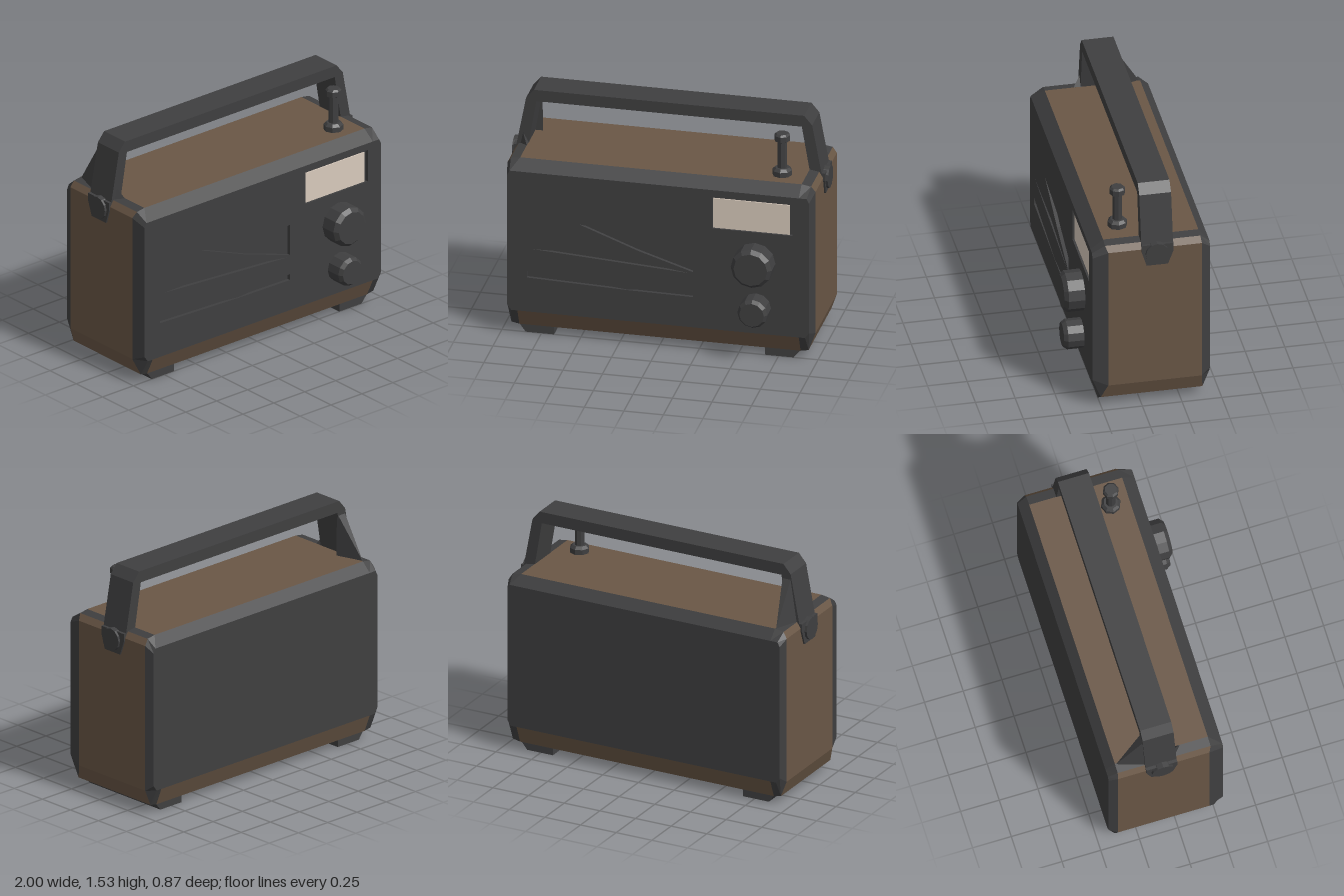
import * as THREE from 'three';
import { ConvexGeometry } from 'three/addons/geometries/ConvexGeometry.js';

const mat = (name, color) => new THREE.MeshStandardMaterial({ name, color, flatShading: true });

export function createModel() {
  const charcoal = mat('charcoal', 0x3f3f40);
  const brown = mat('brown', 0x6a5746);
  const cream = mat('cream', 0xd8cabc);
  const radio = new THREE.Group();
  radio.name = 'radio';

  const add = (name, geometry, material, x = 0, y = 0, z = 0) => {
    const mesh = new THREE.Mesh(geometry, material);
    mesh.name = name;
    mesh.position.set(x, y, z);
    radio.add(mesh);
    return mesh;
  };
  const shapeOf = (pts) => new THREE.Shape(pts.map(([x, y]) => new THREE.Vector2(x, y)));
  const extrude = (shape, depth) => new THREE.ExtrudeGeometry(shape, { depth, bevelEnabled: false });
  const lathe = (pts, sides) => new THREE.LatheGeometry(pts.map(([r, y]) => new THREE.Vector2(r, y)), sides);

  // Half outlines from bottom to top, mirrored to a full ring (counter-clockwise from the front)
  const ring = (half) => [
    [-half[0][0], half[0][1], half[0][2]],
    ...half,
    ...half.slice(1).reverse().map(([x, y, z]) => [-x, y, z]),
  ];
  const face = (z) => ring([[0.89, 0.165, z], [0.93, 0.165, z], [0.955, 0.2, z],
    [0.955, 1.08, z], [0.94, 1.11, z], [0.89, 1.11, z]]);
  const edge = (bottomZ, sideZ, topZ) => ring([[0.89, 0.05, bottomZ], [0.94, 0.06, bottomZ], [0.975, 0.16, sideZ],
    [0.975, 1.12, sideZ], [0.95, 1.16, topZ], [0.89, 1.17, topZ]]);
  const rings = [face(0.305), edge(0.25, 0.21, 0.225), edge(-0.39, -0.38, -0.375), face(-0.435)];

  // Case: brown wrap with dark bevels, split by colour
  const wrap = [], bevels = [];
  const n = rings[0].length;
  for (let r = 0; r < 3; r++) {
    for (let i = 0; i < n; i++) {
      const j = (i + 1) % n;
      const [f0, f1, b0, b1] = [rings[r][i], rings[r][j], rings[r + 1][i], rings[r + 1][j]];
      const darkStrip = [1, 5, 7, 11].includes(i);
      const isBrown = i === 0 || (r === 1 && !darkStrip);
      (isBrown ? wrap : bevels).push(...b0, ...b1, ...f1, ...b0, ...f1, ...f0);
    }
  }
  for (let i = 1; i < n - 1; i++) bevels.push(...rings[3][0], ...rings[3][i + 1], ...rings[3][i]);
  const fromTriangles = (list) => {
    const g = new THREE.BufferGeometry();
    g.setAttribute('position', new THREE.Float32BufferAttribute(list, 3));
    g.computeVertexNormals();
    return g;
  };
  add('caseWrap', fromTriangles(wrap), brown);
  add('caseBevelsAndBack', fromTriangles(bevels), charcoal);

  // Front panel with window and speaker slots cut through
  const panel = shapeOf(rings[0]);
  const cutouts = [
    [[0.345, 0.85], [0.85, 0.85], [0.85, 1.065], [0.345, 1.065]],
    [[-0.5, 0.79], [-0.13, 0.65], [0.22, 0.54], [0.22, 0.745], [0, 0.745]],
    [[-0.8, 0.592], [0.2, 0.53], [-0.3, 0.6]],
    [[-0.83, 0.395], [-0.2, 0.375], [0.22, 0.37], [0.22, 0.41], [-0.2, 0.38], [-0.83, 0.44]],
  ];
  for (const c of cutouts) panel.holes.push(new THREE.Path(c.map(([x, y]) => new THREE.Vector2(x, y))));
  add('frontPanel', extrude(panel, 0.025), charcoal, 0, 0, 0.28);
  add('panelBacking', new THREE.PlaneGeometry(1.8, 0.9), charcoal, 0, 0.64, 0.283);
  add('tuningWindow', new THREE.BoxGeometry(0.487, 0.2, 0.008), cream, 0.588, 0.95, 0.288);

  // Control knobs
  for (const [name, x, y, r, depth] of [['tuningKnob', 0.613, 0.65, 0.13, 0.13], ['volumeKnob', 0.62, 0.343, 0.095, 0.127]]) {
    const knob = lathe([[r, 0], [r, depth - 0.025], [r * 0.82, depth], [0, depth]], 12);
    add(name, knob.rotateX(Math.PI / 2), charcoal, x, y, 0.303);
  }

  // Folded aerial
  add('aerial', lathe([[0.062, 0], [0.062, 0.035], [0.045, 0.052], [0.031, 0.052], [0.031, 0.225],
    [0.05, 0.235], [0.05, 0.27], [0.038, 0.282], [0, 0.282]], 8), charcoal, 0.74, 1.168, 0.105);

  // Carrying handle
  const outer = [[0.975, 1.1], [0.905, 1.47], [0.855, 1.53]];
  const inner = [[0.84, 1.455], [0.9, 1.1]];
  const half = [...outer.map(([x, y]) => [x, y]), ...outer.slice().reverse().map(([x, y]) => [-x, y]),
    ...inner.slice().reverse().map(([x, y]) => [-x, y]), ...inner];
  add('handle', extrude(shapeOf(half), 0.2), charcoal, 0, 0, -0.2);

  for (const side of [1, -1]) {
    // Tapered handle ends lying on the case sides, with round pivots
    const lug = shapeOf([[0, 1.15], [0, 1.1], [0.03, 1.005], [0.165, 1.005], [0.2, 1.1], [0.2, 1.15]]);
    const lugMesh = add('handleLug', extrude(lug, 0.05).rotateY(Math.PI / 2), charcoal, side * 0.96 - 0.025, 0, 0);
    lugMesh.name = side > 0 ? 'leftHandleLug' : 'rightHandleLug';
    const pivot = new THREE.CylinderGeometry(0.073, 0.073, 0.04, 12).rotateZ(Math.PI / 2);
    add('handlePivot', pivot, charcoal, side * 0.98, 1.09, -0.095);

    // Feet with sloping outer sides
    const foot = side > 0
      ? [[0.665, 0], [0.845, 0], [0.89, 0.055], [0.665, 0.055]]
      : [[-0.89, 0.055], [-0.85, 0], [-0.67, 0], [-0.67, 0.055]];
    add(side > 0 ? 'leftFoot' : 'rightFoot', extrude(shapeOf(foot), 0.63), charcoal, 0, 0, -0.38);
  }

  // Gussets behind and before the right handle leg
  const hull = (pts) => new ConvexGeometry(pts.map((p) => new THREE.Vector3(...p)));
  add('rearGusset', hull([[-0.845, 1.45, -0.19], [-0.905, 1.45, -0.19], [-0.95, 1.16, -0.19],
    [-0.84, 1.16, -0.19], [-0.895, 1.165, -0.37]]), charcoal);
  add('frontGusset', hull([[-0.93, 1.25, -0.01], [-0.95, 1.16, -0.01], [-0.88, 1.16, -0.01],
    [-0.89, 1.165, 0.045]]), charcoal);

  return radio;
}
